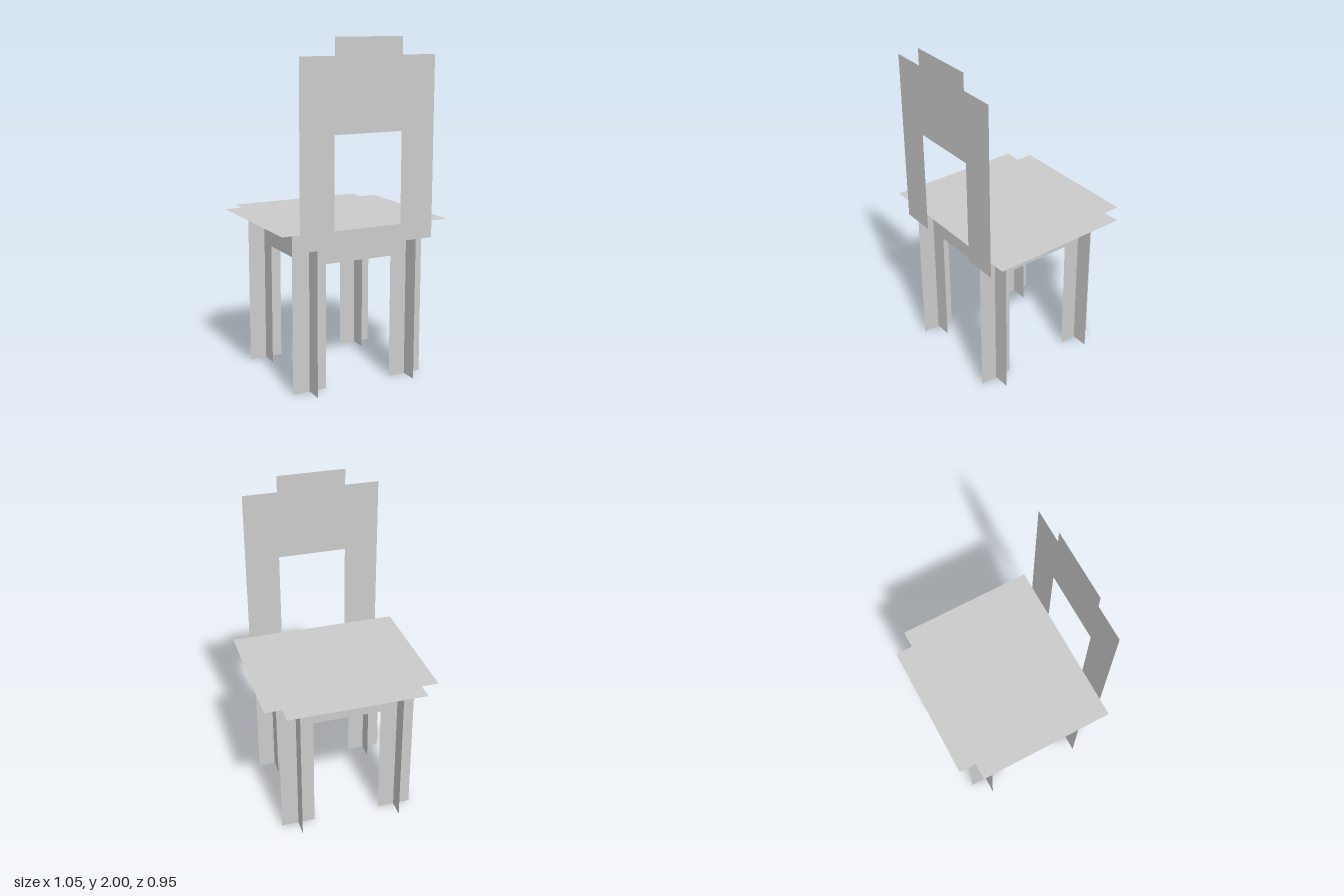
import * as THREE from 'three';

const material = new THREE.MeshStandardMaterial({ color: 0xcccccc, side: THREE.DoubleSide, flatShading: true });

// Thin flat sheet cut from an outline in the XY plane
function sheet(name, points) {
  const shape = new THREE.Shape(points.map(([x, y]) => new THREE.Vector2(x, y)));
  const mesh = new THREE.Mesh(new THREE.ShapeGeometry(shape), material);
  mesh.name = name;
  return mesh;
}

// Mirror the right half of an outline to close it on the left
function mirrored(half) {
  return [...half, ...half.map(([x, y]) => [-x, y]).reverse()];
}

export function createModel() {
  const chair = new THREE.Group();
  chair.name = 'chair';

  const seatY = 0.95, outer = 0.42, inner = 0.21;
  const frontZ = 0.37, rearZ = -0.26, legX = 0.315;

  // Seat with two notched corners
  const seat = sheet('seat', mirrored([[0.525, -0.475], [0.525, 0.37], [outer, 0.37], [outer, 0.475]]));
  seat.rotation.x = -Math.PI / 2;
  seat.position.y = seatY;
  chair.add(seat);

  // Backrest: two uprights, a broad panel and a raised centre
  const backrest = sheet('backrest', mirrored([
    [inner, 1.48], [inner, 0.85], [outer, 0.85], [outer, 1.9], [inner, 1.9], [inner, 2.0],
  ]));
  backrest.position.z = 0.475;
  chair.add(backrest);

  // Interlocking leg frames: each is two legs joined by an apron
  const frame = mirrored([[inner, 0.74], [inner, 0], [outer, 0], [outer, seatY]]);
  for (const [name, z] of [['crossLegFrameBackrestSide', frontZ], ['crossLegFrameOpenSide', rearZ]]) {
    const cross = sheet(name, frame);
    cross.position.z = z;
    chair.add(cross);
  }
  for (const [name, x] of [['leftLegFrame', legX], ['rightLegFrame', -legX]]) {
    const side = sheet(name, frame);
    side.rotation.y = Math.PI / 2;
    side.position.set(x, 0, (frontZ + rearZ) / 2);
    chair.add(side);
  }

  return chair;
}
